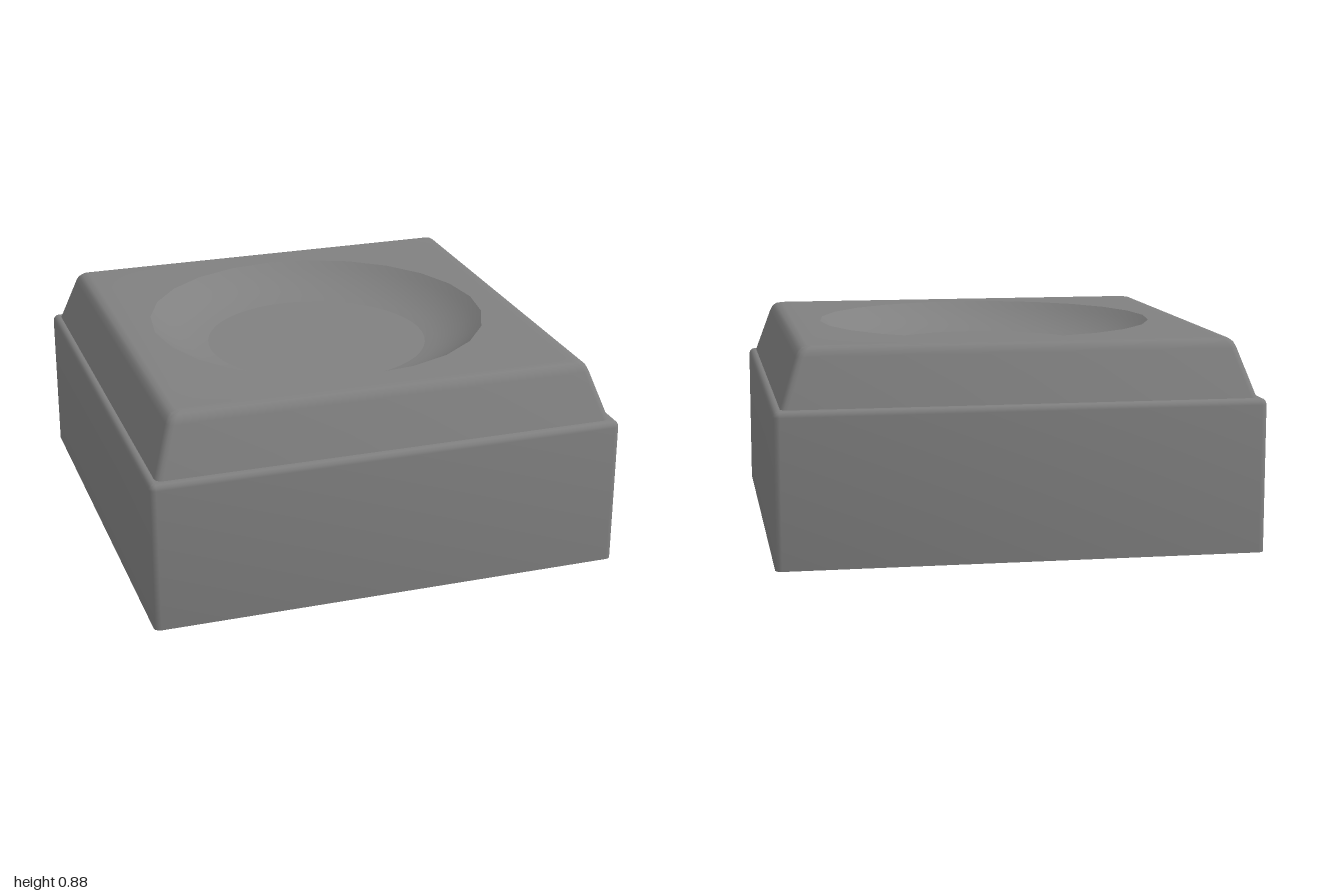
import * as THREE from 'three';
import { mergeGeometries, toCreasedNormals } from 'three/addons/utils/BufferGeometryUtils.js';

const RIM_SIDES = 24;
const material = new THREE.MeshStandardMaterial({ color: 0x808080, side: THREE.DoubleSide });

// Outline of a rounded square as [x, z] points, four points per corner.
function roundedSquare(half, r) {
  const points = [];
  for (let q = 0; q < 4; q++) {
    const mid = (q + 0.5) * Math.PI / 2;
    const cx = Math.sign(Math.cos(mid)) * (half - r);
    const cz = Math.sign(Math.sin(mid)) * (half - r);
    for (let k = 0; k <= 3; k++) {
      const a = (q + k / 3) * Math.PI / 2;
      points.push([cx + r * Math.cos(a), cz + r * Math.sin(a)]);
    }
  }
  return points;
}

// Walls through rounded-square levels [half, y, corner radius], closed by a flat top.
function squareBlock(levels, holeRadius) {
  const rings = levels.map(([half, y, r]) => roundedSquare(half, r).map(([x, z]) => [x, y, z]));
  const n = rings[0].length;
  const positions = [];
  for (let i = 0; i < rings.length - 1; i++) {
    for (let j = 0; j < n; j++) {
      const k = (j + 1) % n;
      const a = rings[i][j], b = rings[i + 1][j], c = rings[i + 1][k], d = rings[i][k];
      positions.push(...a, ...b, ...d, ...b, ...c, ...d);
    }
  }
  const walls = new THREE.BufferGeometry();
  walls.setAttribute('position', new THREE.Float32BufferAttribute(positions, 3));
  walls.computeVertexNormals();

  const [half, y, r] = levels[levels.length - 1];
  const shape = new THREE.Shape(roundedSquare(half, r).map(([x, z]) => new THREE.Vector2(x, z)));
  if (holeRadius) {
    const hole = [];
    for (let i = 0; i < RIM_SIDES; i++) {
      const a = i / RIM_SIDES * Math.PI * 2;
      hole.push(new THREE.Vector2(holeRadius * Math.cos(a), holeRadius * Math.sin(a)));
    }
    shape.holes.push(new THREE.Path(hole));
  }
  const top = new THREE.ShapeGeometry(shape).toNonIndexed();
  top.deleteAttribute('uv');
  top.rotateX(-Math.PI / 2).translate(0, y, 0);
  return toCreasedNormals(mergeGeometries([walls, top]), 0.7);
}

function addPart(group, name, geometry) {
  const mesh = new THREE.Mesh(geometry, material);
  mesh.name = name;
  group.add(mesh);
}

export function createModel() {
  const group = new THREE.Group();
  group.name = 'dishedBlock';

  // Hollow base, open underneath, with a softly rounded top edge
  addPart(group, 'base', squareBlock([
    [1, 0, 0.026], [1, 0.612, 0.026], [0.9965, 0.624, 0.0225],
    [0.987, 0.6335, 0.013], [0.976, 0.637, 0.006],
  ]));

  // Tapered cap with rounded shoulders and a round opening
  const rim = 0.73, topY = 0.875;
  addPart(group, 'cap', squareBlock([
    [0.97, 0.632, 0.03], [0.9, 0.835, 0.03], [0.89, 0.856, 0.03],
    [0.873, 0.87, 0.025], [0.85, topY, 0.02],
  ], rim));

  // Dish wall: an arc that is steep at the rim and shallow at the floor
  const floorRadius = 0.48, arcRadius = 0.533;
  const steep = THREE.MathUtils.degToRad(40), shallow = THREE.MathUtils.degToRad(10);
  const profile = [];
  for (let i = 0; i <= 6; i++) {
    const a = THREE.MathUtils.lerp(steep, shallow, i / 6);
    profile.push(new THREE.Vector2(
      rim - arcRadius * (Math.sin(steep) - Math.sin(a)),
      topY - arcRadius * (Math.cos(a) - Math.cos(steep)),
    ));
  }
  const wall = new THREE.LatheGeometry(profile, RIM_SIDES * 2);
  // Every second rim point moves in to the straight edge of the opening
  const points = wall.attributes.position;
  const inset = Math.cos(Math.PI / RIM_SIDES);
  for (let i = 1; i < RIM_SIDES * 2; i += 2) {
    const v = i * profile.length;
    points.setXYZ(v, points.getX(v) * inset, topY, points.getZ(v) * inset);
  }
  addPart(group, 'dishWall', wall);

  // Flat dish floor
  const floorEdge = profile[profile.length - 1];
  addPart(group, 'dishFloor', new THREE.CircleGeometry(floorEdge.x, RIM_SIDES * 2)
    .rotateX(-Math.PI / 2).translate(0, floorEdge.y, 0));

  return group;
}
